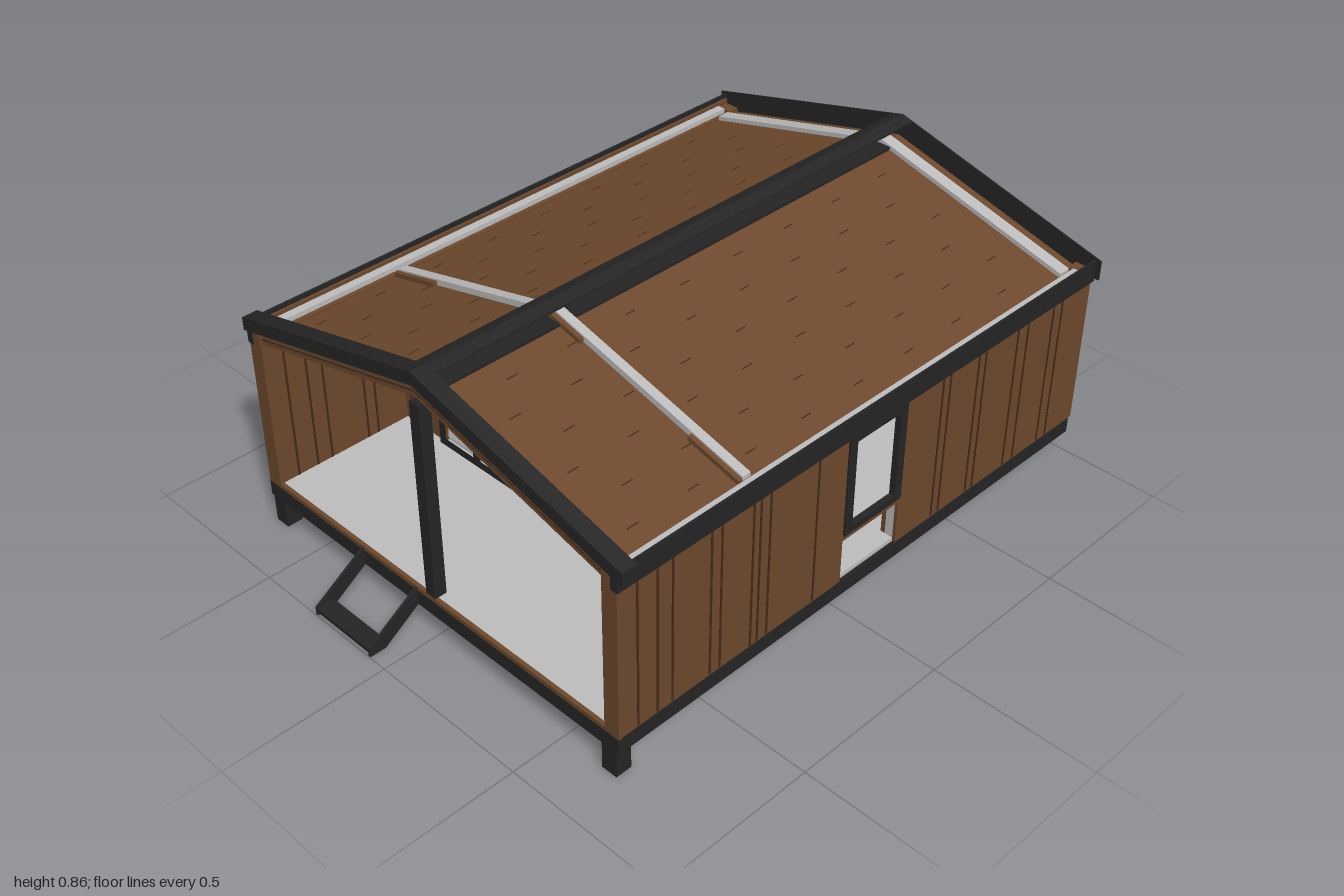
import * as THREE from 'three';

const mat = (name, color, side = THREE.FrontSide) => {
  const m = new THREE.MeshStandardMaterial({ color, side });
  m.name = name;
  return m;
};

export function createModel() {
  const model = new THREE.Group();
  model.name = 'cabin';
  const wood = mat('brown cladding', 0x6e492d);
  const seam = mat('dark seam', 0x432b1a);
  const dark = mat('charcoal trim', 0x252525);
  const grey = mat('grey core', 0xbebebe);
  const glass = mat('pale glass', 0xd8d8d8);

  const add = (name, geo, m) => {
    const mesh = new THREE.Mesh(geo, m);
    mesh.name = name;
    model.add(mesh);
    return mesh;
  };
  // Box given by its limits
  const box = (name, m, x0, x1, y0, y1, z0, z1) => {
    const g = new THREE.BoxGeometry(Math.abs(x1 - x0), y1 - y0, z1 - z0);
    g.translate((x0 + x1) / 2, (y0 + y1) / 2, (z0 + z1) / 2);
    return add(name, g, m);
  };
  const shapeOf = pts => new THREE.Shape(pts.map(p => new THREE.Vector2(...p)));
  // Outline in x and y, extruded from z0 to z1
  const prism = (name, m, pts, z0, z1, holes = []) => {
    const s = shapeOf(pts);
    holes.forEach(h => s.holes.push(shapeOf(h)));
    const g = new THREE.ExtrudeGeometry(s, { depth: z1 - z0, bevelEnabled: false });
    g.translate(0, 0, z0);
    return add(name, g, m);
  };
  const roof = x => 0.855 - 0.257 * Math.abs(x);
  // Pitched band lying between two depths below the roof line
  const chevron = (name, m, w, d0, d1, z0, z1) => prism(name, m, [
    [-w, roof(w) - d0], [0, roof(0) - d0], [w, roof(w) - d0],
    [w, roof(w) - d1], [0, roof(0) - d1], [-w, roof(w) - d1]], z0, z1);
  // Panel with a level foot and a top that follows the roof
  const panel = (name, m, x0, x1, y0, d, z0, z1) => prism(name, m,
    [[x0, y0], [x1, y0], [x1, roof(x1) - d], [x0, roof(x0) - d]], z0, z1);

  // Base, floor and front legs
  box('base', dark, -0.7, 0.7, 0.085, 0.132, -0.98, 0.835);
  box('floor', grey, -0.69, 0.69, 0.132, 0.145, -0.97, 0.822);
  box('deckEdge', wood, -0.7, 0.7, 0.132, 0.145, 0.822, 0.834);
  for (const s of [-1, 1]) box('frontLeg', dark, s * 0.64, s * 0.69, 0, 0.09, 0.785, 0.835);

  // Steps
  for (const x of [-0.28, -0.056]) {
    const g = new THREE.ExtrudeGeometry(
      shapeOf([[0.83, 0.085], [0.95, 0.004], [1, 0.004], [1, 0.03], [0.83, 0.142]]),
      { depth: 0.008, bevelEnabled: false });
    g.rotateY(-Math.PI / 2);
    g.translate(x, 0, 0);
    add('stepStringer', g, dark);
  }
  box('stepTread', dark, -0.285, -0.06, 0.016, 0.028, 0.945, 1);

  // Side walls: outer cladding, core and lining; the left one has a window bay
  const seams = [0.77, 0.705, 0.655, 0.525, 0.49, 0.38, 0.355, 0.32, 0.145,
    -0.34, -0.37, -0.49, -0.52, -0.66, -0.705, -0.82, -0.86];
  for (const s of [-1, 1]) {
    const runs = s > 0 ? [[-0.99, -0.19, 0.135], [0.035, 0.822, 0.135], [-0.19, 0.035, 0.608]]
      : [[-0.99, 0.822, 0.135]];
    for (const [z0, z1, y0] of runs) {
      box('sideCladding', wood, s * 0.69, s * 0.7, y0, 0.655, z0, z1);
      box('sideCore', grey, s * 0.664, s * 0.69, y0, 0.645, Math.max(z0, -0.95), z1);
      box('sideLining', wood, s * 0.65, s * 0.664, y0, 0.63, Math.max(z0, -0.95), z1);
    }
    box('frontWallEnd', wood, s * 0.65, s * 0.7, 0.145, 0.65, 0.822, 0.834);
    box('backCorner', wood, s * 0.645, s * 0.69, 0.132, 0.64, -0.99, -0.95);
    for (const x of [0.66, 0.68]) box('cornerSeam', seam, s * x, s * (x + 0.004), 0.135, 0.62, -0.992, -0.989);
    for (const z of seams) {
      box('sideSeam', seam, s * 0.699, s * 0.702, 0.14, 0.6, z - 0.003, z + 0.003);
      if (z > 0.4) box('porchSeam', seam, s * 0.648, s * 0.651, 0.146, 0.62, z - 0.003, z + 0.003);
    }
    box('eaveFascia', dark, s * 0.698, s * 0.705, 0.6, 0.668, -0.998, 0.8);
  }

  // Side window with an open bay below
  box('sideGlass', glass, 0.675, 0.688, 0.3, 0.6, -0.18, 0.025);
  for (const [y0, y1, z0, z1] of [[0.29, 0.312, -0.19, 0.035], [0.582, 0.608, -0.19, 0.035],
    [0.312, 0.582, -0.19, -0.162], [0.312, 0.582, 0.007, 0.035]])
    box('sideWindowFrame', dark, 0.66, 0.706, y0, y1, z0, z1);
  box('sideSill', wood, 0.655, 0.7, 0.272, 0.29, -0.19, 0.035);

  // Back wall and gable
  prism('backWall', grey, [[-0.65, 0.132], [0.65, 0.132], [0.65, roof(0.65) - 0.05],
    [0, 0.805], [-0.65, roof(0.65) - 0.05]], -0.95, -0.91);
  box('backSill', grey, -0.645, 0.645, 0.132, 0.155, -0.965, -0.95);
  prism('backGable', dark, [[-0.72, 0.61], [0.72, 0.61], [0.72, 0.67], [0, 0.855], [-0.72, 0.67]], -1, -0.995);
  chevron('backRafter', wood, 0.69, 0.06, 0.085, -0.985, -0.955);

  // Porch wall: core, cladding, slanted windows and lamps
  prism('porchWallCore', grey, [[-0.65, 0.145], [0.65, 0.145], [0.65, roof(0.65) - 0.045],
    [0, 0.81], [-0.65, roof(0.65) - 0.045]], 0.342, 0.37);
  panel('porchCenterLeft', wood, 0, 0.102, 0.145, 0.05, 0.37, 0.384);
  panel('porchCenterRight', wood, -0.102, 0, 0.145, 0.05, 0.37, 0.384);
  chevron('porchHeader', wood, 0.65, 0.066, 0.098, 0.369, 0.383);
  box('porchPost', dark, -0.018, 0.018, 0.145, 0.76, 0.384, 0.41);
  for (const s of [-1, 1]) {
    panel('porchSidePanel', wood, s * 0.48, s * 0.65, 0.145, 0.05, 0.37, 0.384);
    for (const x of [0.545, 0.585, 0.62])
      box('porchWallSeam', seam, s * x, s * (x + 0.005), 0.146, roof(x) - 0.08, 0.383, 0.386);
    const top = (x, d) => [s * x, roof(x) - d];
    const pane = (a, b) => [[s * a, 0.175], [s * b, 0.175], top(b, 0.18), top(a, 0.18)];
    prism('porchWindowFrame', dark,
      [[s * 0.104, 0.15], [s * 0.482, 0.15], top(0.482, 0.15), top(0.104, 0.15)], 0.371, 0.4,
      [pane(0.132, 0.305), pane(0.337, 0.454)]);
    prism('porchGlass', glass,
      [[s * 0.12, 0.165], [s * 0.47, 0.165], top(0.47, 0.165), top(0.12, 0.165)], 0.3705, 0.379);
    box('wallLamp', grey, s * 0.555, s * 0.58, 0.452, 0.478, 0.384, 0.405);
  }

  // Ceiling, with short seams along the boards
  chevron('ceiling', wood, 0.652, 0.064, 0.07, -0.912, 0.8);
  for (const s of [-1, 1]) for (let i = 0; i < 6; i++) for (let j = 0; j < 8; j++) {
    const x = 0.09 + i * 0.1;
    const z = -0.82 + j * 0.2 + (i % 2) * 0.08;
    box('ceilingSeam', seam, s * x, s * (x + 0.003), roof(x) - 0.066, roof(x) - 0.0635, z, z + 0.035);
  }

  // Ridge and front gable
  box('ridgeBeam', dark, -0.03, 0.03, 0.775, 0.793, -0.91, 0.79);
  chevron('ridgeCap', dark, 0.036, 0, 0.006, -1, 0.8);
  chevron('frontFascia', dark, 0.72, 0, 0.04, 0.788, 0.836);
  chevron('frontTrim', wood, 0.69, 0.04, 0.075, 0.795, 0.828);
  chevron('frontTrimSeam', seam, 0.66, 0.056, 0.06, 0.827, 0.83);
  for (const s of [-1, 1]) box('fasciaEnd', dark, s * 0.682, s * 0.705, 0.6, 0.66, 0.79, 0.836);
  box('frontPost', dark, -0.018, 0.018, 0.14, 0.76, 0.795, 0.833);
  return model;
}
